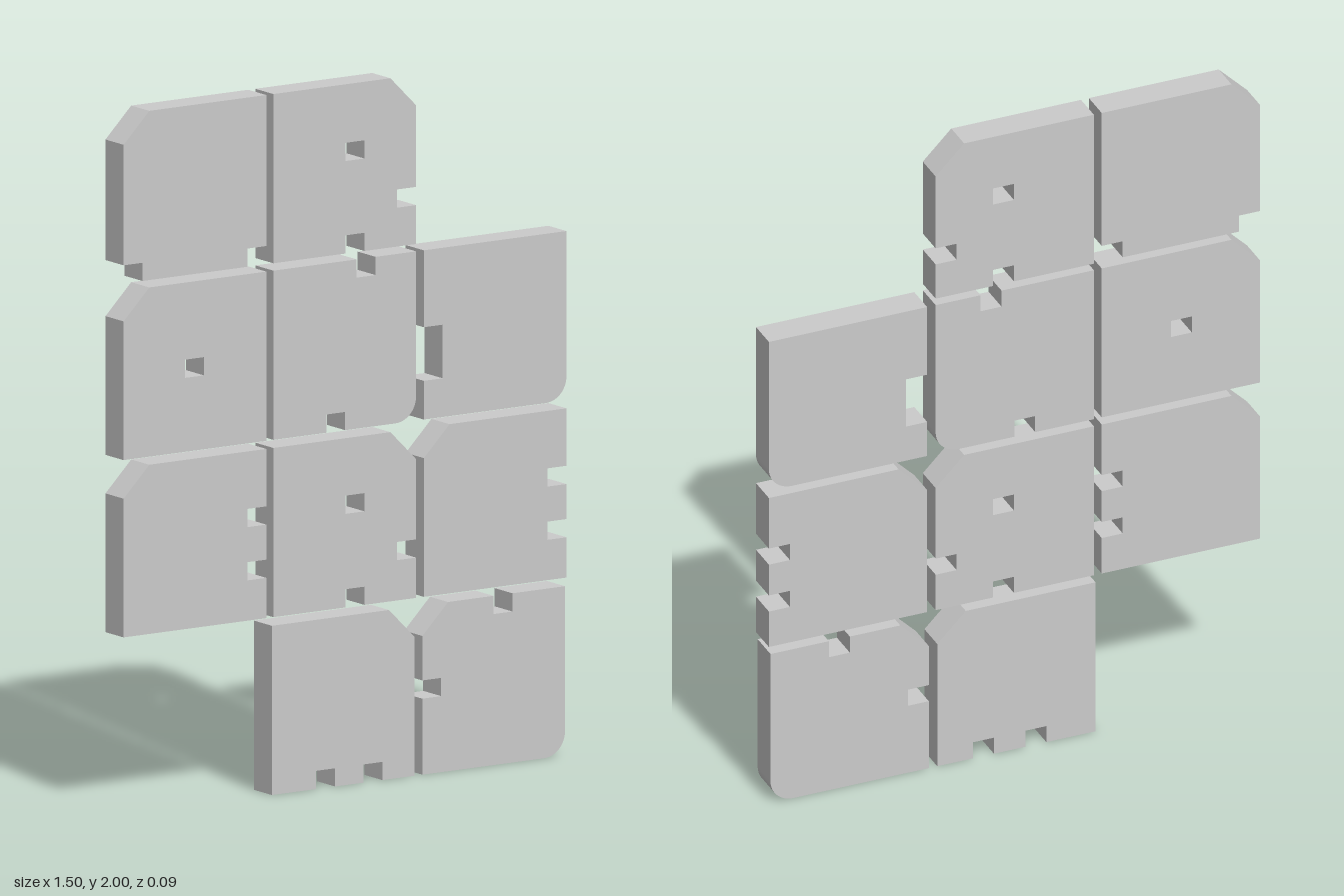
import * as THREE from 'three';
import { toCreasedNormals } from 'three/addons/utils/BufferGeometryUtils.js';

const S = 0.483;          // tile side
const T = 0.09;           // tile thickness
const CUT = 0.087;        // chamfer
const R = 0.07;           // rounded corner
const NX = 0.064, NY = 0.052; // notch size along x and along y

// Sides run counter-clockwise: 0 bottom, 1 right, 2 top, 3 left.
// Corner k sits at the start of side k: 0 bottom left, 1 bottom right, 2 top right, 3 top left.
const ORIGIN = [[0, 0], [S, 0], [S, S], [0, S]];
const DIR = [[1, 0], [0, 1], [-1, 0], [0, -1]];

// Point at distance s along side k and depth d into the tile
function at(k, s, d) {
  const [ox, oy] = ORIGIN[k], [dx, dy] = DIR[k];
  return new THREE.Vector2(ox + dx * s - dy * d, oy + dy * s + dx * d);
}

function corner(k, type) {
  const w = k % 2 ? NY : NX, h = k % 2 ? NX : NY;
  if (type === 'cut') return [at(k, 0, CUT), at(k, CUT, 0)];
  if (type === 'notch') return [at(k, 0, h), at(k, w, h), at(k, w, 0)];
  if (type === 'round') {
    return Array.from({ length: 13 }, (_, i) => {
      const a = (i / 12) * Math.PI / 2;
      return at(k, R * (1 - Math.cos(a)), R * (1 - Math.sin(a)));
    });
  }
  return [at(k, 0, 0)];
}

// corners: {k: type}; notches: {k: [[centre from left/bottom, optional width]]}; hole: [x, y]
function tileGeometry({ corners = {}, notches = {}, hole }) {
  const pts = [];
  for (let k = 0; k < 4; k++) {
    pts.push(...corner(k, corners[k]));
    const depth = k % 2 ? NX : NY;
    const cuts = (notches[k] || []).map(([c, w = k % 2 ? NY : NX]) => {
      const s = k < 2 ? c : S - c;
      return [s - w / 2, s + w / 2];
    }).sort((a, b) => a[0] - b[0]);
    for (const [a, b] of cuts) pts.push(at(k, a, 0), at(k, a, depth), at(k, b, depth), at(k, b, 0));
  }
  const shape = new THREE.Shape(pts);
  if (hole) {
    const [x, y] = hole, w = NX / 2, h = NY / 2;
    shape.holes.push(new THREE.Path([
      new THREE.Vector2(x - w, y - h), new THREE.Vector2(x - w, y + h),
      new THREE.Vector2(x + w, y + h), new THREE.Vector2(x + w, y - h),
    ]));
  }
  const geo = new THREE.ExtrudeGeometry(shape, { depth: T, bevelEnabled: false });
  geo.translate(0, 0, -T / 2);
  return toCreasedNormals(geo, 0.4);
}

export function createModel() {
  const group = new THREE.Group();
  const material = new THREE.MeshStandardMaterial({ color: 0xcccccc });
  const [x0, x1, x2] = [-0.75, -0.243, 0.266];
  const [y0, y1, y2, y3] = [0, 0.507, 1.013, 1.517];

  const tiles = [
    // top row
    { name: 'topLeftTile', x: x0, y: y3, corners: { 0: 'notch', 1: 'notch', 3: 'cut' } },
    { name: 'topMiddleTile', x: x1, y: y3, corners: { 2: 'cut' }, notches: { 0: [[0.276]], 1: [[0.137]] }, hole: [0.276, 0.29] },
    // upper row
    { name: 'upperLeftTile', x: x0, y: y2, corners: { 3: 'cut' }, hole: [0.24, 0.237] },
    { name: 'upperMiddleTile', x: x1, y: y2, corners: { 1: 'round' }, notches: { 0: [[0.211]], 2: [[0.314]] } },
    { name: 'upperRightTile', x: x2, y: y2, corners: { 1: 'round' }, notches: { 3: [[0.187, 0.153]] } },
    // lower row
    { name: 'lowerLeftTile', x: x0, y: y1, corners: { 3: 'cut' }, notches: { 1: [[0.141], [0.293]] } },
    { name: 'lowerMiddleTile', x: x1, y: y1, corners: { 2: 'cut' }, notches: { 0: [[0.276]], 1: [[0.141]] }, hole: [0.276, 0.293] },
    { name: 'lowerRightTile', x: x2, y: y1, corners: { 3: 'cut' }, notches: { 1: [[0.141], [0.293]] } },
    // bottom row, set slightly to one side
    { name: 'bottomMiddleTile', x: x1 - 0.005, y: y0, corners: { 2: 'cut' }, notches: { 0: [[0.182], [0.342]] } },
    { name: 'bottomRightTile', x: x2 - 0.005, y: y0, corners: { 1: 'round', 3: 'cut' }, notches: { 2: [[0.273]], 3: [[0.243]] } },
  ];

  for (const tile of tiles) {
    const mesh = new THREE.Mesh(tileGeometry(tile), material);
    mesh.name = tile.name;
    mesh.position.set(tile.x, tile.y, 0);
    group.add(mesh);
  }
  return group;
}
